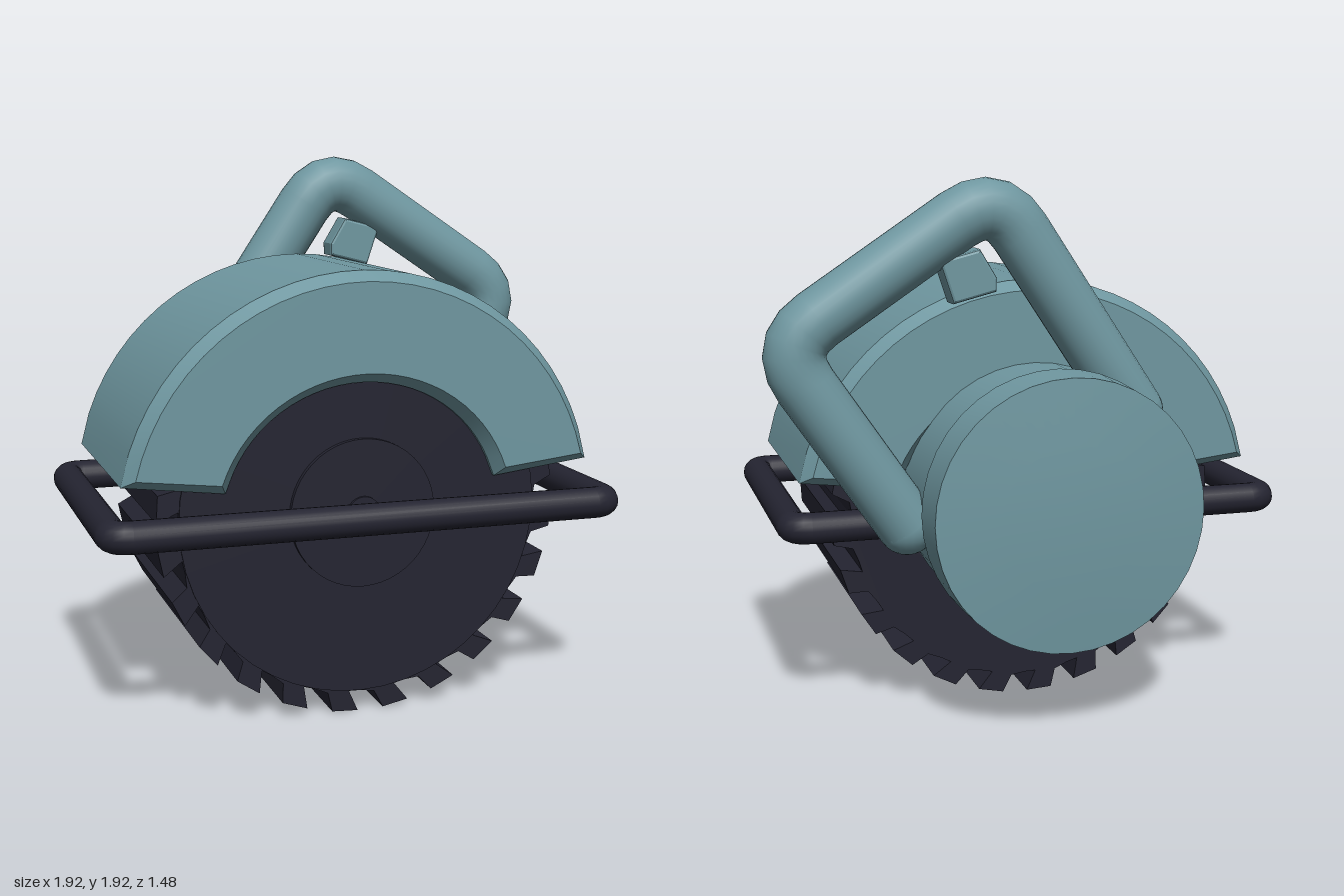
import * as THREE from 'three';
import { toCreasedNormals } from 'three/addons/utils/BufferGeometryUtils.js';

const V = (x, y, z) => new THREE.Vector3(x, y, z);

// Replaces each corner of a path by a short curve
function roundCorners(pts, d, closed) {
  const out = [], n = pts.length;
  pts.forEach((p, i) => {
    if (!closed && (i === 0 || i === n - 1)) { out.push(p); return; }
    const toward = q => p.clone().add(q.clone().sub(p).setLength(d));
    const a = toward(pts[(i + n - 1) % n]), b = toward(pts[(i + 1) % n]);
    out.push(...new THREE.QuadraticBezierCurve3(a, p, b).getPoints(5));
  });
  return out;
}

// Mitred round bar along a flat path; up is the normal of the path's plane
function sweep(pts, up, r, closed, sides = 20) {
  const pos = [], idx = [], n = pts.length;
  pts.forEach((p, i) => {
    const hasPrev = closed || i > 0, hasNext = closed || i < n - 1;
    const next = hasNext ? pts[(i + 1) % n].clone().sub(p).normalize() : null;
    const prev = hasPrev ? p.clone().sub(pts[(i + n - 1) % n]).normalize() : next;
    const t = prev.clone().add(next || prev).normalize();
    const side = up.clone().cross(t).divideScalar(t.dot(prev));
    for (let j = 0; j < sides; j++) {
      const a = j / sides * Math.PI * 2;
      const v = p.clone().addScaledVector(side, r * Math.cos(a)).addScaledVector(up, r * Math.sin(a));
      pos.push(v.x, v.y, v.z);
    }
  });
  for (let i = 0; i < (closed ? n : n - 1); i++) {
    for (let j = 0; j < sides; j++) {
      const k = (j + 1) % sides, m = (i + 1) % n;
      const a = i * sides + j, b = i * sides + k, c = m * sides + j, d = m * sides + k;
      idx.push(a, b, c, b, d, c);
    }
  }
  const g = new THREE.BufferGeometry();
  g.setAttribute('position', new THREE.Float32BufferAttribute(pos, 3));
  g.setIndex(idx);
  g.computeVertexNormals();
  return g;
}

export function createModel() {
  const group = new THREE.Group();
  const teal = new THREE.MeshStandardMaterial({ color: 0x6f97a0 });
  teal.name = 'teal body';
  const dark = new THREE.MeshStandardMaterial({ color: 0x242431 });
  dark.name = 'dark metal';

  const add = (name, geo, mat, x = 0, y = 0, z = 0) => {
    const m = new THREE.Mesh(geo, mat);
    m.name = name;
    m.position.set(x, y, z);
    group.add(m);
    return m;
  };
  const CX = -0.06, CY = 0.72;

  // Toothed blade drum, teeth leaning forward in the turning direction
  const teeth = 24, pitch = Math.PI * 2 / teeth;
  const tooth = [[0, 0.645], [0.3, 0.655], [0.45, 0.72], [0.95, 0.718], [0.75, 0.645]];
  const bladePts = [];
  for (let i = 0; i < teeth; i++) {
    for (const [f, r] of tooth) {
      const a = (i + f) * pitch;
      bladePts.push(new THREE.Vector2(r * Math.cos(a), r * Math.sin(a)));
    }
  }
  add('blade', new THREE.ExtrudeGeometry(new THREE.Shape(bladePts), { depth: 0.73, bevelEnabled: false }),
    dark, CX, CY, -0.18);

  // Stacked discs on the blade's front
  const disc = (name, r, z0, z1) => {
    const g = new THREE.CylinderGeometry(r, r, z1 - z0, 48);
    g.rotateX(Math.PI / 2);
    add(name, g, dark, CX, CY, (z0 + z1) / 2);
  };
  disc('bladeDisc', 0.643, 0.5, 0.555);
  disc('bladeFlange', 0.26, 0.5, 0.575);
  disc('bladeBolt', 0.06, 0.5, 0.585);

  // Arched blade guard with chamfered edges
  const arch = new THREE.Shape();
  const a0 = 0.235, a1 = 0.315;
  arch.absarc(0, 0, 0.82, a0, Math.PI - a0, false);
  arch.absellipse(0, 0, 0.535, 0.51, Math.PI - a1, a1, true);
  arch.closePath();
  const guard = new THREE.ExtrudeGeometry(arch, {
    depth: 0.8, bevelThickness: 0.05, bevelSize: 0.035, bevelSegments: 1, curveSegments: 14,
  });
  add('bladeGuard', toCreasedNormals(guard, 0.5), teal, CX, 0.70, -0.23);

  // Motor housing with a wider, slightly domed end cap
  const profile = [[0, 0.2], [0.465, 0.2], [0.465, 0.55], [0.482, 0.55], [0.475, 0.715], [0.25, 0.733], [0, 0.74]]
    .map(([r, h]) => new THREE.Vector2(r, h));
  const motor = new THREE.LatheGeometry(profile, 40);
  motor.rotateX(-Math.PI / 2);
  add('motorHousing', toCreasedNormals(motor, 0.5), teal, -0.065, 0.797, 0);

  // Base frame: a closed round bar
  const frame = [V(-0.945, 0.725, 0.685), V(0.815, 0.725, 0.685), V(0.815, 0.725, -0.325), V(-0.945, 0.725, -0.325)];
  add('baseFrame', sweep(roundCorners(frame, 0.06, true), V(0, 1, 0), 0.055, true), dark);

  // Handle: three-sided round bar with rounded ends
  const HZ = -0.405;
  const path = [V(-0.395, 1.095, HZ), V(0.117, 1.866, HZ), V(0.864, 1.367, HZ), V(0.435, 0.735, HZ)];
  add('handle', sweep(roundCorners(path, 0.16, false), V(0, 0, 1), 0.105, false, 24), teal);
  for (const p of [path[0], path[3]]) {
    add('handleEnd', new THREE.SphereGeometry(0.105, 24, 16), teal, p.x, p.y, p.z);
  }

  // Trigger under the grip
  const pad = new THREE.Shape([[-0.07, -0.035], [0.07, -0.035], [0.08, 0.1], [-0.05, 0.1], [-0.08, 0.0]]
    .map(([x, y]) => new THREE.Vector2(x, y)));
  const trigger = new THREE.ExtrudeGeometry(pad, {
    depth: 0.08, bevelThickness: 0.015, bevelSize: 0.01, bevelSegments: 2,
  });
  trigger.translate(0, 0, -0.04);
  add('trigger', trigger, teal, 0.21, 1.56, HZ).rotation.z = -0.25;

  return group;
}
